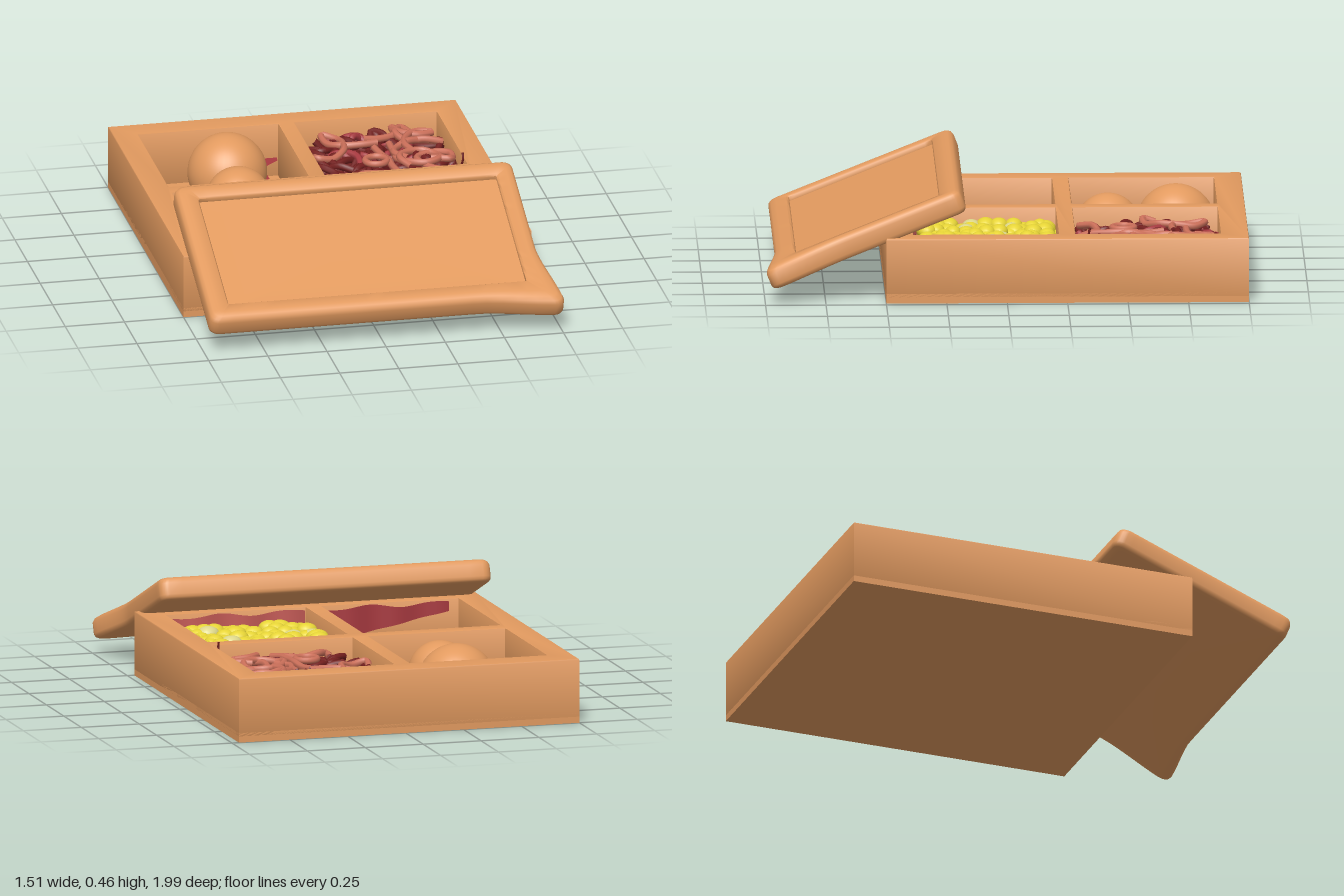
import * as THREE from 'three';
import { toCreasedNormals } from 'three/addons/utils/BufferGeometryUtils.js';

const mat = (name, color, side = THREE.FrontSide) => {
  const m = new THREE.MeshStandardMaterial({ color, side });
  m.name = name;
  return m;
};

function seeded(seed) {
  let s = seed;
  return () => ((s = (s * 16807) % 2147483647) / 2147483647);
}

const clampTo = (v, a, b) => Math.min(b, Math.max(a, v));
const lerp = THREE.MathUtils.lerp;
const points = (list) => list.map(([x, y]) => new THREE.Vector2(x, y));

// Rectangle in plan (shape y is -z)
const rect = (x0, x1, z0, z1) => points([[x0, -z1], [x1, -z1], [x1, -z0], [x0, -z0]]);

// Rounded rectangle loop, running from +x towards +z
function roundedLoop(x0, x1, z0, z1, r) {
  const corners = [[x1 - r, z1 - r], [x0 + r, z1 - r], [x0 + r, z0 + r], [x1 - r, z0 + r]];
  const loop = [];
  corners.forEach(([cx, cz], c) => {
    for (let i = 0; i <= 5; i++) {
      const a = (c + i / 5) * Math.PI / 2;
      loop.push([cx + r * Math.cos(a), cz + r * Math.sin(a)]);
    }
    const [px, pz] = loop[loop.length - 1];
    const [nx, nz] = corners[(c + 1) % 4];
    const a = (c + 1) * Math.PI / 2;
    const qx = nx + r * Math.cos(a), qz = nz + r * Math.sin(a);
    for (let i = 1; i < 24; i++) loop.push([lerp(px, qx, i / 24), lerp(pz, qz, i / 24)]);
  });
  return loop;
}

// Lid skin: loops from the underside centre, round the rim and into the recess.
// Each row is [position from outer edge (0) to recess edge (1), height, pull to centre]
function lidGeometry() {
  const rows = [[0.4, -0.048, 1], [0.4, -0.048, 0], [0.12, -0.046, 0], [0.03, -0.038, 0],
    [0, -0.026, 0], [0, 0.022, 0], [0.06, 0.038, 0], [0.2, 0.047, 0], [0.45, 0.05, 0],
    [0.93, 0.048, 0], [1, 0.042, 0], [1, 0.024, 0], [1, 0.022, 1]];
  const pos = [], index = [];
  let n = 0;
  rows.forEach(([t, y, pull], j) => {
    const loop = roundedLoop(lerp(-0.73, -0.64, t), lerp(0.7, 0.62, t),
      lerp(-0.418, -0.328, t), lerp(0.405, 0.312, t), lerp(0.04, 0.006, t));
    n = loop.length;
    loop.forEach(([x, z], i) => {
      // stretched front corner
      const w = Math.max(0, 1 - Math.hypot(x - 0.7, z - 0.405) / 0.3);
      const k = w * w * (3 - 2 * w) * (1 - t);
      pos.push((x + 0.062 * k) * (1 - pull), y, (z + 0.045 * k) * (1 - pull));
      if (j === rows.length - 1) return;
      const a = j * n + i, b = j * n + (i + 1) % n;
      index.push(a, a + n, b, b, a + n, b + n);
    });
  });
  const g = new THREE.BufferGeometry();
  g.setAttribute('position', new THREE.Float32BufferAttribute(pos, 3));
  g.setIndex(index);
  return toCreasedNormals(g, 0.9);
}

export function createModel() {
  const model = new THREE.Group();
  const wood = mat('warm wood', 0xe29a5f);
  const darkRed = mat('dark red', 0x74201f);
  const salmon = mat('salmon', 0xcc705a);
  const meatRed = mat('meat red', 0xa83a40, THREE.DoubleSide);
  const pinkRed = mat('pink red', 0xc45a56, THREE.DoubleSide);
  const yellow = mat('corn yellow', 0xe6d436);
  const paleYellow = mat('pale corn', 0xdcd68a);
  const silver = mat('silver', 0xe2e4e6, THREE.DoubleSide);
  const black = mat('black', 0x2a2a2c);

  const add = (name, geo, material, parent = model) => {
    const m = new THREE.Mesh(geo, material);
    m.name = name;
    parent.add(m);
    return m;
  };
  const block = (name, x0, x1, y0, y1, z0, z1, material, parent) =>
    add(name, new THREE.BoxGeometry(x1 - x0, y1 - y0, z1 - z0), material, parent)
      .position.set((x0 + x1) / 2, (y0 + y1) / 2, (z0 + z1) / 2);
  const group = (name) => {
    const g = new THREE.Group();
    g.name = name;
    model.add(g);
    return g;
  };

  // Tray: a base with four compartments framed above it
  const tray = group('tray');
  const plan = new THREE.Shape(rect(-0.75, 0.72, -1, 0.5));
  for (const [x0, x1] of [[-0.645, -0.055], [0.015, 0.615]])
    for (const [z0, z1] of [[-0.885, -0.285], [-0.215, 0.385]])
      plan.holes.push(new THREE.Path(rect(x0, x1, z0, z1)));
  const walls = new THREE.ExtrudeGeometry(plan, {
    depth: 0.238, bevelThickness: 0.006, bevelSize: 0.006, bevelOffset: -0.006, bevelSegments: 2,
  });
  walls.rotateX(-Math.PI / 2);
  walls.translate(0, 0.026, 0);
  add('trayWalls', toCreasedNormals(walls, 0.7), wood, tray);
  block('trayBase', -0.75, 0.72, 0, 0.04, -1, 0.5, wood, tray);

  // Lid: leaning panel with a raised rim
  const lid = add('lid', lidGeometry(), wood);
  lid.position.set(0, 0.27, 0.57);
  lid.rotation.x = 0.38;

  // Two round buns cut flat where they rest, with a ragged slice between
  const buns = group('buns');
  for (const [y, x, z, r] of [[0.14, -0.305, -0.72, 0.165], [0.13, -0.318, -0.44, 0.135]])
    add('bun', new THREE.SphereGeometry(r, 40, 28, 0, Math.PI * 2, 0, Math.acos((0.035 - y) / r)),
      wood, buns).position.set(x, y, z);
  const sliceGeo = new THREE.ShapeGeometry(new THREE.Shape(points([
    [-0.43, 0.888], [-0.06, 0.888], [-0.065, 0.85], [-0.11, 0.81], [-0.14, 0.78], [-0.14, 0.64],
    [-0.18, 0.58], [-0.15, 0.53], [-0.15, 0.41], [-0.2, 0.4], [-0.22, 0.285], [-0.39, 0.285],
    [-0.38, 0.4], [-0.43, 0.55], [-0.4, 0.63], [-0.37, 0.8],
  ])));
  sliceGeo.rotateX(-Math.PI / 2);
  add('meatSlice', sliceGeo, meatRed, buns).position.y = 0.12;

  // Wavy slices standing along the front wall; the lower edge may slant
  for (const [x0, x1, lowLeft, lowRight, material] of [
    [-0.6, -0.06, 0.22, 0.11, meatRed], [0.02, 0.61, 0.1, 0.1, pinkRed]]) {
    const g = new THREE.PlaneGeometry(x1 - x0, 1, 30, 4);
    const q = g.attributes.position;
    for (let i = 0; i < q.count; i++) {
      const x = q.getX(i), low = lerp(lowLeft, lowRight, x / (x1 - x0) + 0.5);
      q.setY(i, lerp(low, 0.256 + 0.008 * Math.sin(x * 21), q.getY(i) + 0.5));
      q.setZ(i, 0.007 * Math.sin(x * 32));
    }
    g.computeVertexNormals();
    add('standingSlice', g, material).position.set((x0 + x1) / 2, 0, 0.376);
  }
  block('sideSlice', 0.6, 0.618, 0.06, 0.25, -0.21, -0.08, meatRed, model);

  // Tangle of noodles: dark strands below, a few light ones on top
  const noodles = group('noodles');
  block('noodleBed', 0.08, 0.57, 0.04, 0.13, -0.84, -0.33, darkRed, noodles);
  const rnd = seeded(77);
  const center = [0.325, -0.59];
  for (let i = 0; i < 56; i++) {
    const light = i >= 50;
    let x = 0.08 + rnd() * 0.48, z = -0.84 + rnd() * 0.5, a = rnd() * 6.28, turn = rnd() - 0.5;
    const pts = [];
    for (let k = 0; k < 11; k++) {
      const y = light ? 0.21 + 0.02 * rnd() : 0.11 + 0.1 * rnd();
      pts.push(new THREE.Vector3(clampTo(x, 0.045, 0.598), y, clampTo(z, -0.87, -0.305)));
      turn = clampTo(turn + (rnd() - 0.5) * 1.2, -1, 1);
      a += turn;
      if (Math.hypot(x - center[0], z - center[1]) > 0.29)
        a = Math.atan2(center[1] - z, center[0] - x) + (rnd() - 0.5) * 1.8;
      x += 0.075 * Math.cos(a);
      z += 0.075 * Math.sin(a);
    }
    add('noodle', new THREE.TubeGeometry(new THREE.CatmullRomCurve3(pts), 64, 0.015, 7),
      light ? salmon : i % 6 === 0 ? meatRed : darkRed, noodles);
  }
  const loop = add('noodleLoop', new THREE.TorusGeometry(0.045, 0.014, 8, 28), salmon, noodles);
  loop.position.set(0.275, 0.232, -0.49);
  loop.rotation.x = Math.PI / 2;
  const tip = new THREE.CatmullRomCurve3([[0.56, 0.16, -0.4], [0.6, 0.22, -0.36],
    [0.61, 0.265, -0.34], [0.61, 0.295, -0.345]].map((v) => new THREE.Vector3(...v)));
  add('looseNoodleEnd', new THREE.TubeGeometry(tip, 16, 0.005, 6), darkRed, noodles);

  // Corn kernels pressed together on a solid bed
  const corn = group('corn');
  block('cornBed', 0.012, 0.6, 0.04, 0.19, -0.218, 0.35, yellow, corn);
  const kernel = new THREE.SphereGeometry(1, 16, 12);
  for (let i = 0; i < 11; i++)
    for (let j = 0; j < 11; j++) {
      const r = 0.034 + 0.01 * rnd();
      const k = add('kernel', kernel, rnd() < 0.06 ? paleYellow : yellow, corn);
      k.scale.set(r * 1.15, r * 0.85, r);
      k.position.set(clampTo(0.05 + i * 0.053 + (rnd() - 0.5) * 0.04, 0.058, 0.567),
        0.178 + 0.025 * rnd(), clampTo(-0.18 + j * 0.05 + (rnd() - 0.5) * 0.04, -0.174, 0.32));
    }

  // Small fish: flattened lathe body, tail and dark spots near both ends
  const fish = group('fish');
  const profile = new THREE.SplineCurve(points([[0, 0], [0.014, 0.008], [0.019, 0.05], [0.042, 0.11],
    [0.056, 0.19], [0.062, 0.28], [0.052, 0.36], [0.026, 0.43], [0, 0.455]]));
  const body = new THREE.LatheGeometry(
    profile.getPoints(36).map((v) => new THREE.Vector2(Math.max(0, v.x), v.y)), 24);
  body.rotateZ(-Math.PI / 2);
  body.scale(1, 0.8, 1);
  add('fishBody', body, silver, fish);
  const tailGeo = new THREE.ExtrudeGeometry(new THREE.Shape(points([[0.03, 0], [0.005, 0.024],
    [-0.03, 0.022], [-0.022, 0], [-0.03, -0.022], [0.005, -0.024]])),
  { depth: 0.012, bevelEnabled: false });
  tailGeo.rotateX(-Math.PI / 2);
  add('fishTail', tailGeo, silver, fish);
  const spot = new THREE.SphereGeometry(0.007, 10, 8);
  for (const s of [-1, 1]) {
    add('fishEye', spot, black, fish).position.set(0.41, 0.018, s * 0.029);
    add('tailSpot', spot, black, fish).position.set(-0.008, 0.011, s * 0.013);
  }
  fish.position.set(-0.475, 0.16, -0.035);
  fish.rotation.set(0, -0.57, -0.13, 'YXZ');

  return model;
}
